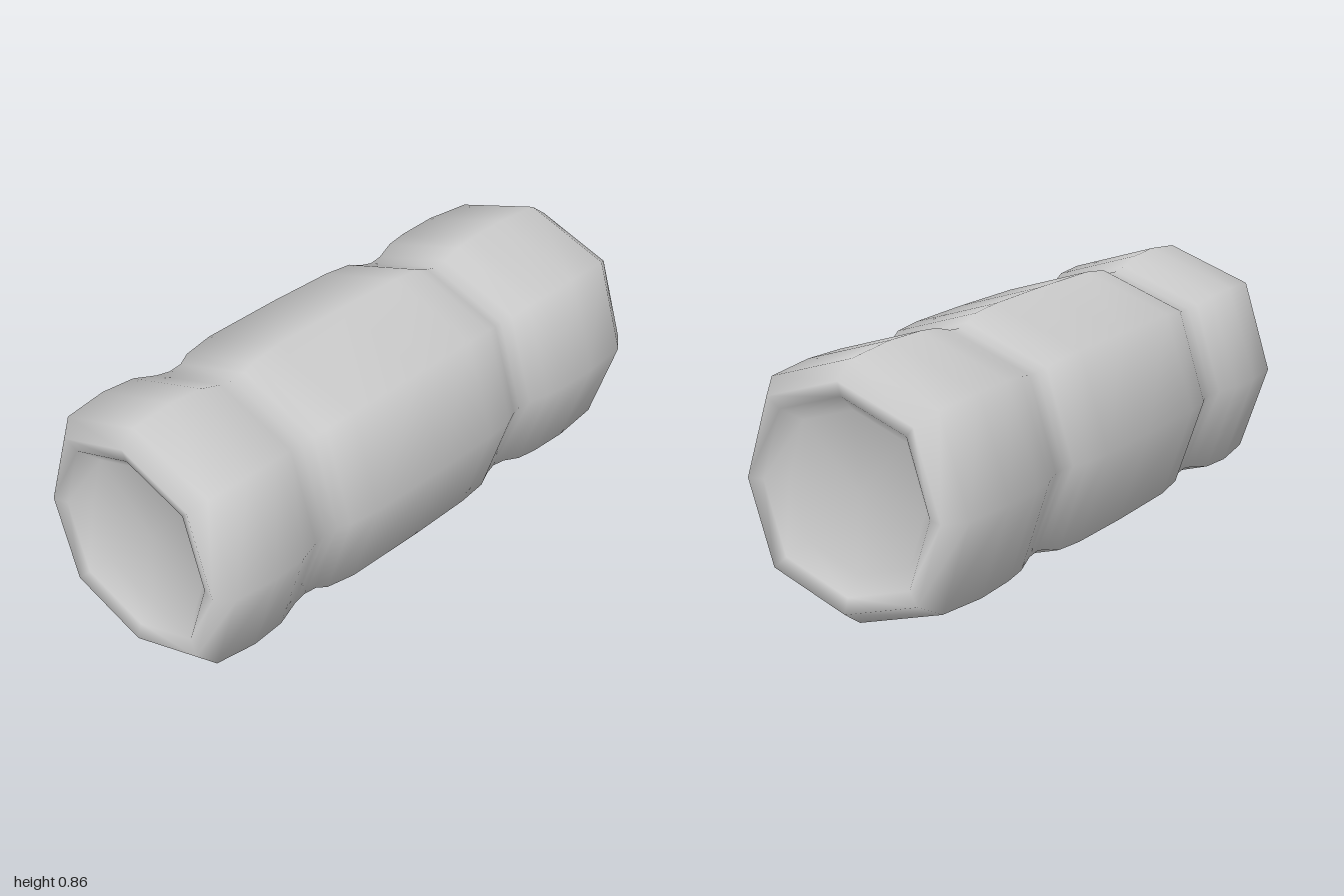
import * as THREE from 'three';
import { mergeVertices } from 'three/addons/utils/BufferGeometryUtils.js';

const CENTRE_Y = 0.432;

// Eight-sided turned body along x; profile entries are [x, radius]
function octagonalTurning(profile) {
  const points = profile.map(([x, r]) => new THREE.Vector2(r, x));
  let geometry = new THREE.LatheGeometry(points, 8);
  const pos = geometry.attributes.position;
  for (let i = 0; i < pos.count; i++) {
    // the diagonal corners stand slightly further out than the axial ones
    const x = pos.getX(i), z = pos.getZ(i);
    const s = Math.abs(x) > 1e-4 && Math.abs(z) > 1e-4 ? 1.062 : 1;
    pos.setX(i, x * s);
    pos.setZ(i, z * s);
  }
  // weld the seam so the shading is smooth all round
  geometry.deleteAttribute('uv');
  geometry.deleteAttribute('normal');
  geometry = mergeVertices(geometry, 1e-4);
  geometry.computeVertexNormals();
  return geometry.rotateZ(-Math.PI / 2);
}

export function createModel() {
  const group = new THREE.Group();
  group.name = 'groovedBarrel';

  // Shallow dished end, from the middle of its floor out to the rim
  const recess = [[0.915, 0], [0.93, 0.26], [0.985, 0.315], [1, 0.365]];

  const outside = [
    [-0.95, 0.415], [-0.8, 0.431], [-0.68, 0.424], [-0.6, 0.399], // left collar
    [-0.55, 0.391], [-0.5, 0.395], // left groove
    [-0.46, 0.413], [-0.35, 0.428], [-0.05, 0.432], [0.2, 0.43], [0.31, 0.421], // middle
    [0.36, 0.4], [0.4, 0.391], [0.45, 0.396], // right groove
    [0.52, 0.418], [0.6, 0.427], [0.75, 0.431], [0.93, 0.417], // right collar
  ];

  const profile = [
    ...recess.map(([x, r]) => [-x, r]),
    ...outside,
    ...recess.slice().reverse(),
  ];

  const barrel = new THREE.Mesh(
    octagonalTurning(profile),
    new THREE.MeshStandardMaterial({ color: 0xcccccc })
  );
  barrel.name = 'barrel';
  barrel.position.y = CENTRE_Y;
  group.add(barrel);
  return group;
}
